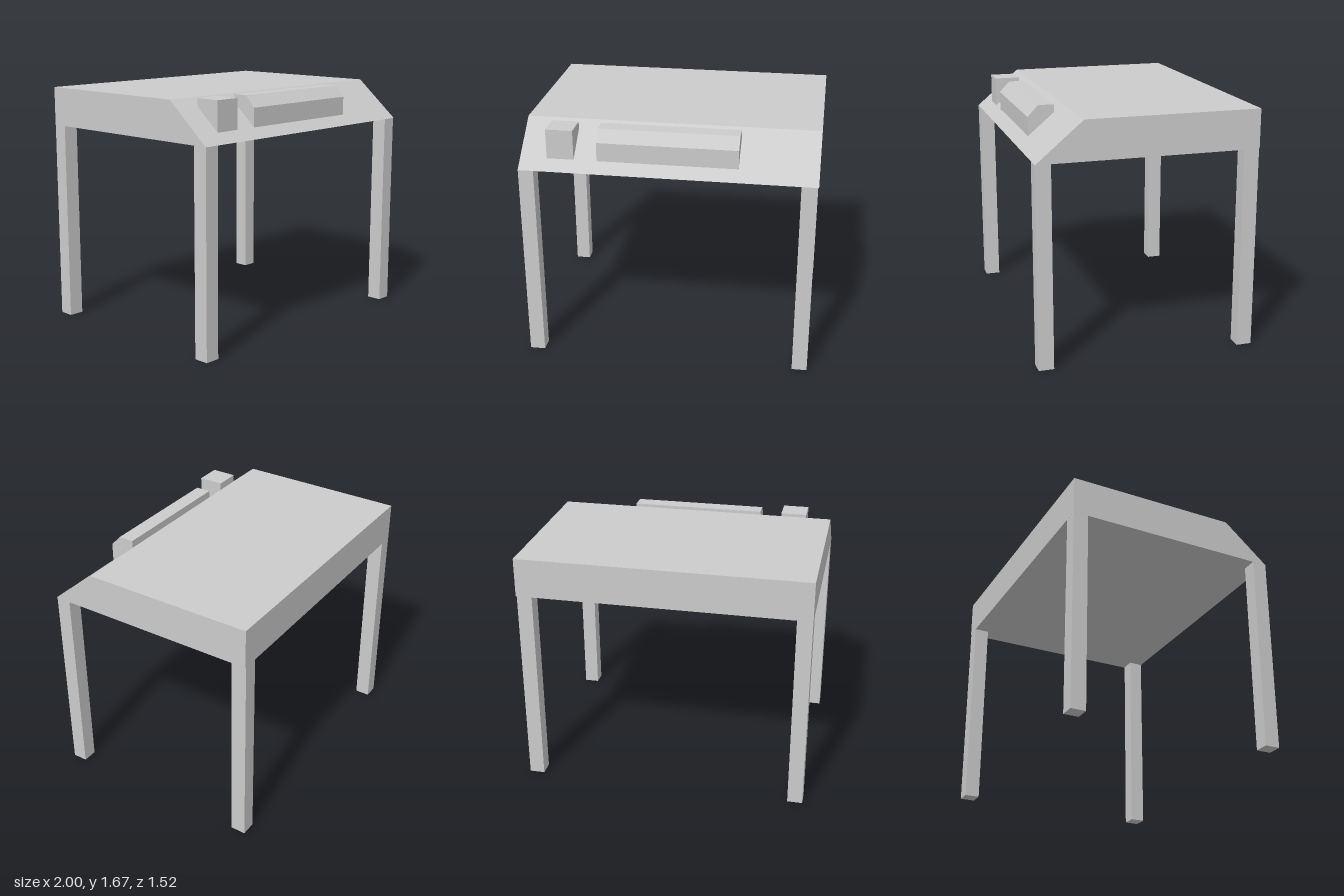
import * as THREE from 'three';

const material = new THREE.MeshStandardMaterial({ color: 0xcccccc, flatShading: true });

// Prism running from x0 to x1 with a side profile of [z, y] points.
function prism(name, profile, x0, x1) {
  const shape = new THREE.Shape(profile.map(([z, y]) => new THREE.Vector2(z, y)));
  const geometry = new THREE.ExtrudeGeometry(shape, { depth: x1 - x0, bevelEnabled: false });
  geometry.rotateY(-Math.PI / 2).translate(x1, 0, 0);
  const mesh = new THREE.Mesh(geometry, material);
  mesh.name = name;
  return mesh;
}

export function createModel() {
  const group = new THREE.Group();
  group.name = 'table';

  const bottom = 1.4, top = 1.67, half = 0.76, slopeTop = 0.44;
  // Height of the sloping front panel at depth z
  const slopeY = (z) => bottom + (top - bottom) * (half - z) / (half - slopeTop);

  // Thick table body with a sloping front panel
  group.add(prism('tableBody', [
    [half, bottom], [slopeTop, top], [-half, top], [-half, bottom],
  ], -1, 1));

  // Square block and chamfered bar resting on the slope
  const front = 0.683, back = 0.502;
  group.add(prism('panelBlock', [
    [front, slopeY(front)], [front, top], [back, top], [back, slopeY(back)],
  ], -0.817, -0.633));
  group.add(prism('panelBar', [
    [front, slopeY(front)], [front, 1.594], [0.612, top], [back, top], [back, slopeY(back)],
  ], -0.476, 0.473));

  // Four square legs; the left pair is set in slightly from the edge
  const legSize = 0.105;
  for (const [side, x] of [['right', -0.947], ['left', 0.94]]) {
    for (const [end, z] of [['Front', 0.707], ['Back', -0.707]]) {
      const leg = new THREE.Mesh(new THREE.BoxGeometry(legSize, bottom, legSize), material);
      leg.name = side + end + 'Leg';
      leg.position.set(x, bottom / 2, z);
      group.add(leg);
    }
  }
  return group;
}
